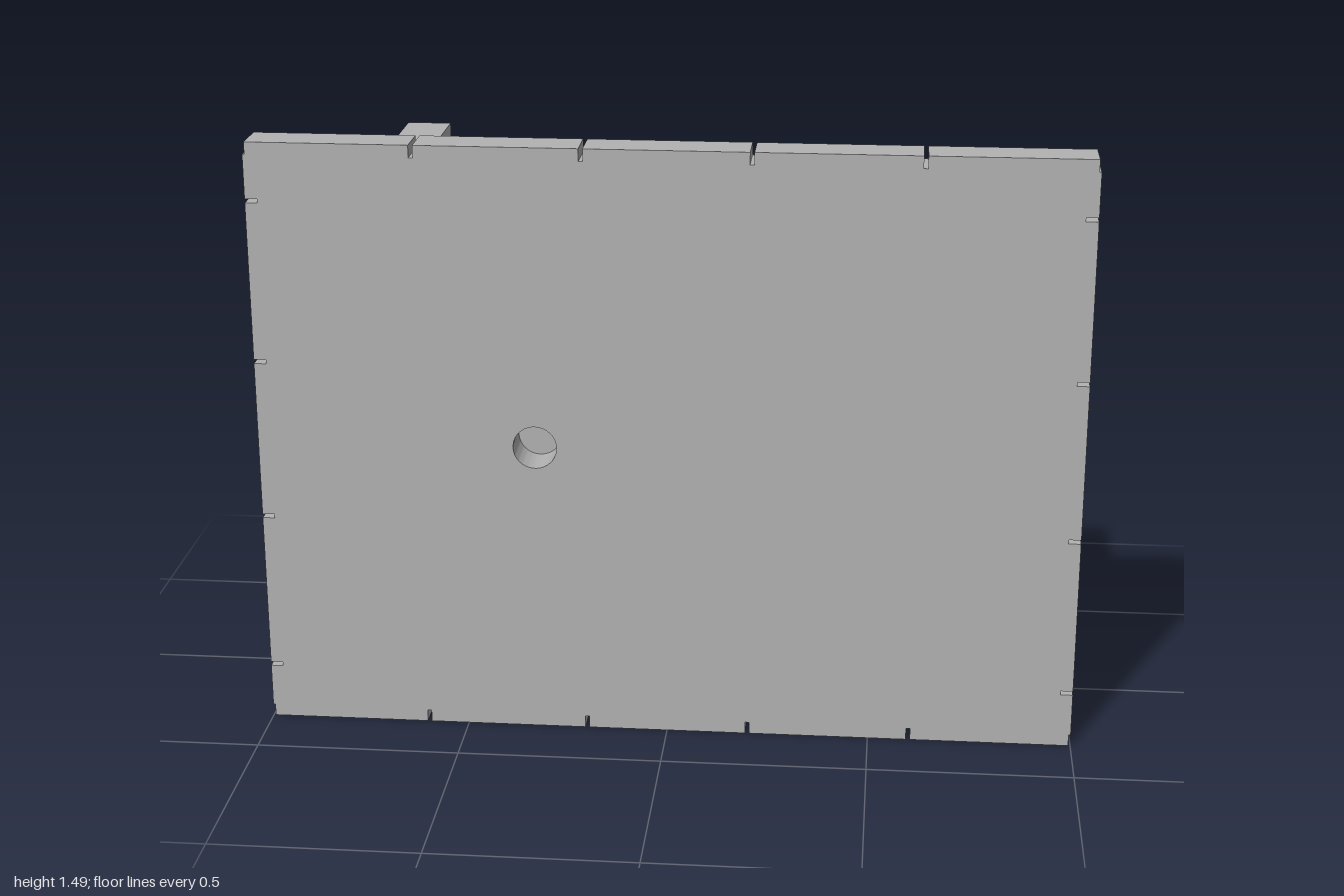
import * as THREE from 'three';
import { toCreasedNormals } from 'three/addons/utils/BufferGeometryUtils.js';

export function createModel() {
  const model = new THREE.Group();
  const grey = new THREE.MeshStandardMaterial({ color: 0xb2b2b2 });
  const H = 1.485, MID = H / 2;

  function add(name, geometry) {
    const mesh = new THREE.Mesh(geometry, grey);
    mesh.name = name;
    model.add(mesh);
  }
  function box(name, x0, x1, y0, y1, z0, z1) {
    const g = new THREE.BoxGeometry(x1 - x0, y1 - y0, z1 - z0);
    add(name, g.translate((x0 + x1) / 2, (y0 + y1) / 2, (z0 + z1) / 2));
  }
  function extrude(shape, depth) {
    const g = new THREE.ExtrudeGeometry(shape, { depth, bevelEnabled: false, curveSegments: 40 });
    return toCreasedNormals(g, 0.5);
  }
  // Side profile (u = -z, y) extruded along x
  function extrudeX(name, shape, x0, x1) {
    add(name, extrude(shape, x1 - x0).rotateY(Math.PI / 2).translate(x0, 0, 0));
  }
  const polygon = (pts) => new THREE.Shape(pts.map(([x, y]) => new THREE.Vector2(x, y)));

  // Face plate with scale notches along all four edges
  const w = 0.005, d = 0.03, steps = [-0.6, -0.2, 0.2, 0.6];
  const bottom = [[-1, d], [-1 + w, d], [-1 + w, 0]];
  for (const x of steps) bottom.push([x - w, 0], [x - w, d], [x + w, d], [x + w, 0]);
  bottom.push([1 - w, 0], [1 - w, d], [1, d]);
  const side = [];
  for (const s of steps) {
    const y = MID + s;
    side.push([1, y - w], [1 - d, y - w], [1 - d, y + w], [1, y + w]);
  }
  const half = [...bottom, ...side];
  const plate = polygon([...half, ...half.map(([x, y]) => [-x, H - y])]);
  plate.holes.push(new THREE.Path().absarc(-0.32, MID, 0.053, 0, Math.PI * 2, true));
  add('facePlate', extrude(plate, 0.1).translate(0, 0, 0.23));

  // Raised rear panel, which also closes the blind hole
  box('rearPanel', -0.91, 0.91, 0.095, H - 0.095, 0.21, 0.23);

  // Housing: bored solid part and slotted fork part
  const cu = 0.045, r = 0.205, PI = Math.PI;
  const y0 = MID - 0.282, y1 = MID + 0.282, s0 = MID - 0.165, s1 = MID + 0.165;
  const bored = polygon([[-0.21, y0], [0.33, y0], [0.33, y1], [-0.21, y1]]);
  bored.holes.push(new THREE.Path().absarc(cu, MID, r, 0, PI * 2, true));
  extrudeX('housingBody', bored, -0.05, 0.285);

  const a = Math.asin(0.165 / r), b = Math.acos(0.2 / r);
  const fork = new THREE.Shape();
  fork.moveTo(-0.21, y0);
  fork.lineTo(0.33, y0);
  fork.lineTo(0.33, s0);
  fork.absarc(cu, MID, r, -a, -PI + a, true);
  fork.lineTo(-0.155, s0);
  fork.absarc(cu, MID, r, -PI + b, -PI - b, true);
  fork.lineTo(-0.155, s1);
  fork.absarc(cu, MID, r, PI - a, a, true);
  fork.lineTo(0.33, s1);
  fork.lineTo(0.33, y1);
  fork.lineTo(-0.21, y1);
  extrudeX('housingFork', fork, 0.285, 0.85);

  // Cradle bracket with a round-ended slot open to the rear
  const cradle = new THREE.Shape();
  cradle.moveTo(-0.21, y0);
  cradle.lineTo(0.25, y0);
  cradle.lineTo(0.25, MID - 0.125);
  cradle.absarc(0.035, MID, 0.125, -PI / 2, -PI * 1.5, true);
  cradle.lineTo(0.25, MID + 0.125);
  cradle.lineTo(0.25, y1);
  cradle.lineTo(-0.21, y1);
  extrudeX('cradleBracket', cradle, -0.665, -0.59);

  // Support bars above and below the cradle
  box('lowerBar', -0.73, -0.62, 0.1, 0.288, -0.33, 0.21);
  box('upperBar', -0.73, -0.62, H - 0.288, H - 0.1, -0.33, 0.21);

  // Small block under the housing
  box('smallBlock', 0.375, 0.64, 0.15, 0.265, 0.135, 0.21);

  return model;
}
